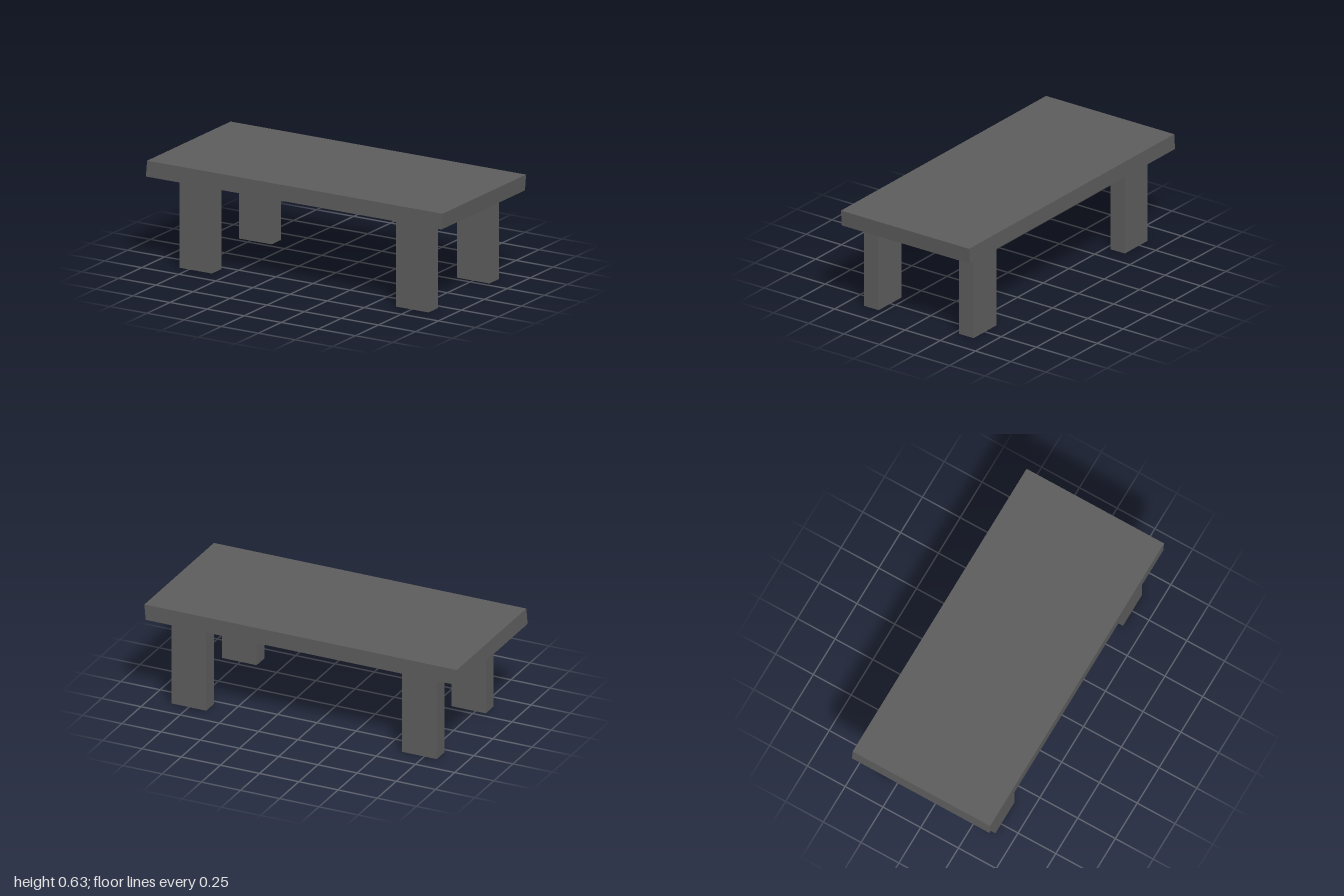
import * as THREE from 'three';

export function createModel() {
  const model = new THREE.Group();
  const charcoal = new THREE.MeshStandardMaterial({ color: 0x5c5c5c });
  charcoal.name = 'charcoal';

  function addBox(name, [w, h, d], [x, y, z], lean = 0) {
    const geometry = new THREE.BoxGeometry(w, h, d);
    // Lean sideways: the top shifts towards +x, the bottom towards -x
    geometry.applyMatrix4(new THREE.Matrix4().makeShear(0, 0, lean / h, 0, 0, 0));
    geometry.computeVertexNormals();
    const mesh = new THREE.Mesh(geometry, charcoal);
    mesh.name = name;
    mesh.position.set(x, y, z);
    model.add(mesh);
  }

  // Tabletop with slightly leaning ends
  addBox('tabletop', [1.992, 0.096, 0.91], [0, 0.582, 0], 0.008);

  // Four slab legs, the back pair set a touch towards the right
  const legs = [
    ['frontLeftLeg', 0.755, 0.337],
    ['frontRightLeg', -0.706, 0.337],
    ['backLeftLeg', 0.75, -0.333],
    ['backRightLeg', -0.719, -0.333],
  ];
  for (const [name, x, z] of legs) addBox(name, [0.22, 0.535, 0.103], [x, 0.2675, z]);

  return model;
}
